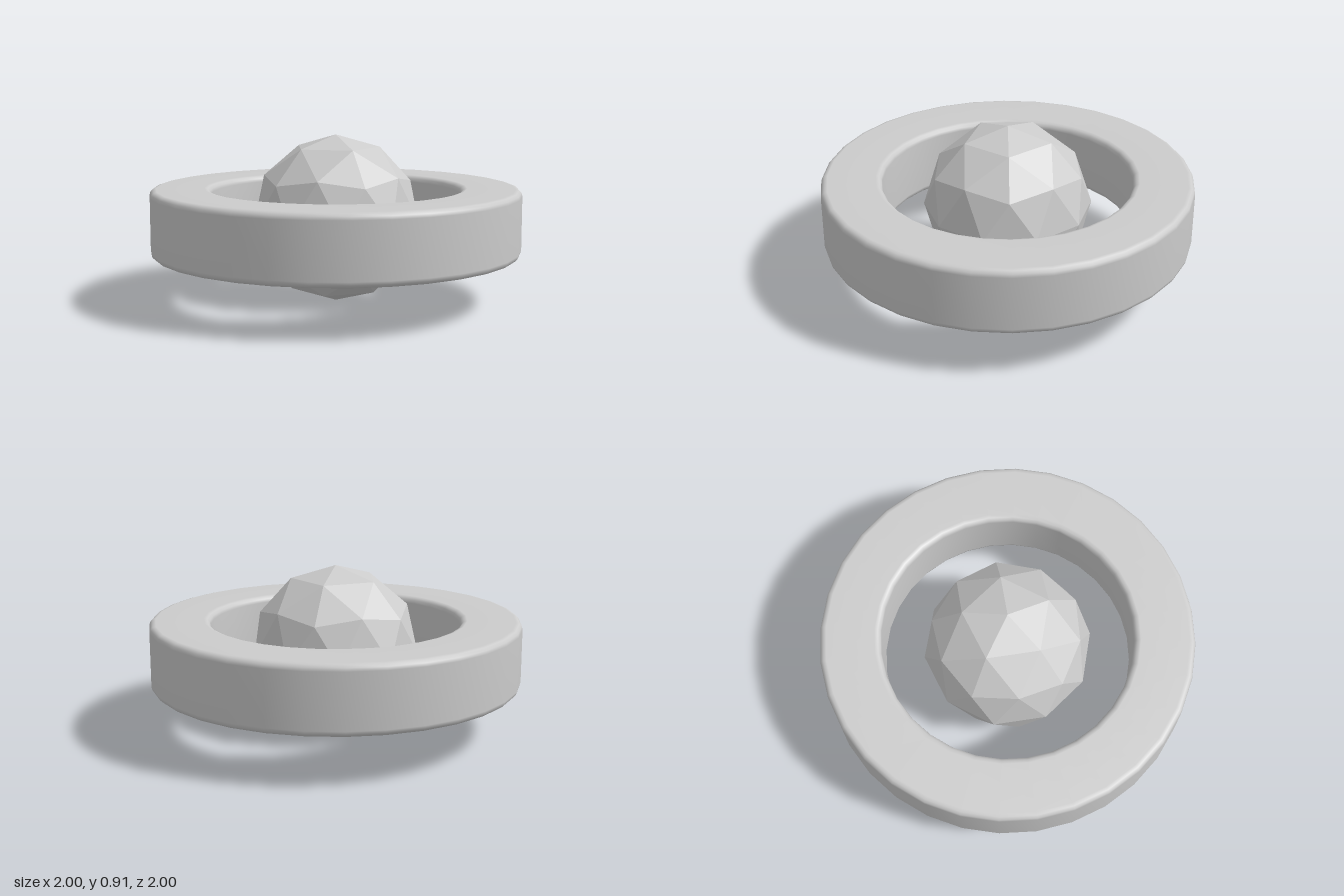
import * as THREE from 'three';

// Closed ring profile with rounded corners, traced counter-clockwise
function ringProfile(inner, outer, bottom, top, bevel, steps) {
  const points = [new THREE.Vector2(inner, (bottom + top) / 2)];
  const corners = [
    [inner + bevel, bottom + bevel, Math.PI],
    [outer - bevel, bottom + bevel, Math.PI * 1.5],
    [outer - bevel, top - bevel, 0],
    [inner + bevel, top - bevel, Math.PI * 0.5],
  ];
  for (const [x, y, start] of corners) {
    for (let i = 0; i <= steps; i++) {
      const a = start + (i / steps) * Math.PI / 2;
      points.push(new THREE.Vector2(x + bevel * Math.cos(a), y + bevel * Math.sin(a)));
    }
  }
  points.push(points[0].clone());
  return points;
}

export function createModel() {
  const model = new THREE.Group();
  model.name = 'ringedBall';

  // Smooth band around the ball
  const ring = new THREE.Mesh(
    new THREE.LatheGeometry(ringProfile(0.673, 1, 0.265, 0.625, 0.035, 3), 32),
    new THREE.MeshStandardMaterial({ color: 0xcccccc })
  );
  ring.name = 'ring';
  model.add(ring);

  // Faceted ball, tilted so that a vertex points straight up
  const radius = 0.454;
  const ballGeometry = new THREE.IcosahedronGeometry(radius, 1);
  ballGeometry.rotateZ(-Math.atan(2 / (1 + Math.sqrt(5))));
  const ball = new THREE.Mesh(
    ballGeometry,
    new THREE.MeshStandardMaterial({ color: 0xcccccc, flatShading: true })
  );
  ball.name = 'ball';
  ball.position.y = radius;
  model.add(ball);

  return model;
}
